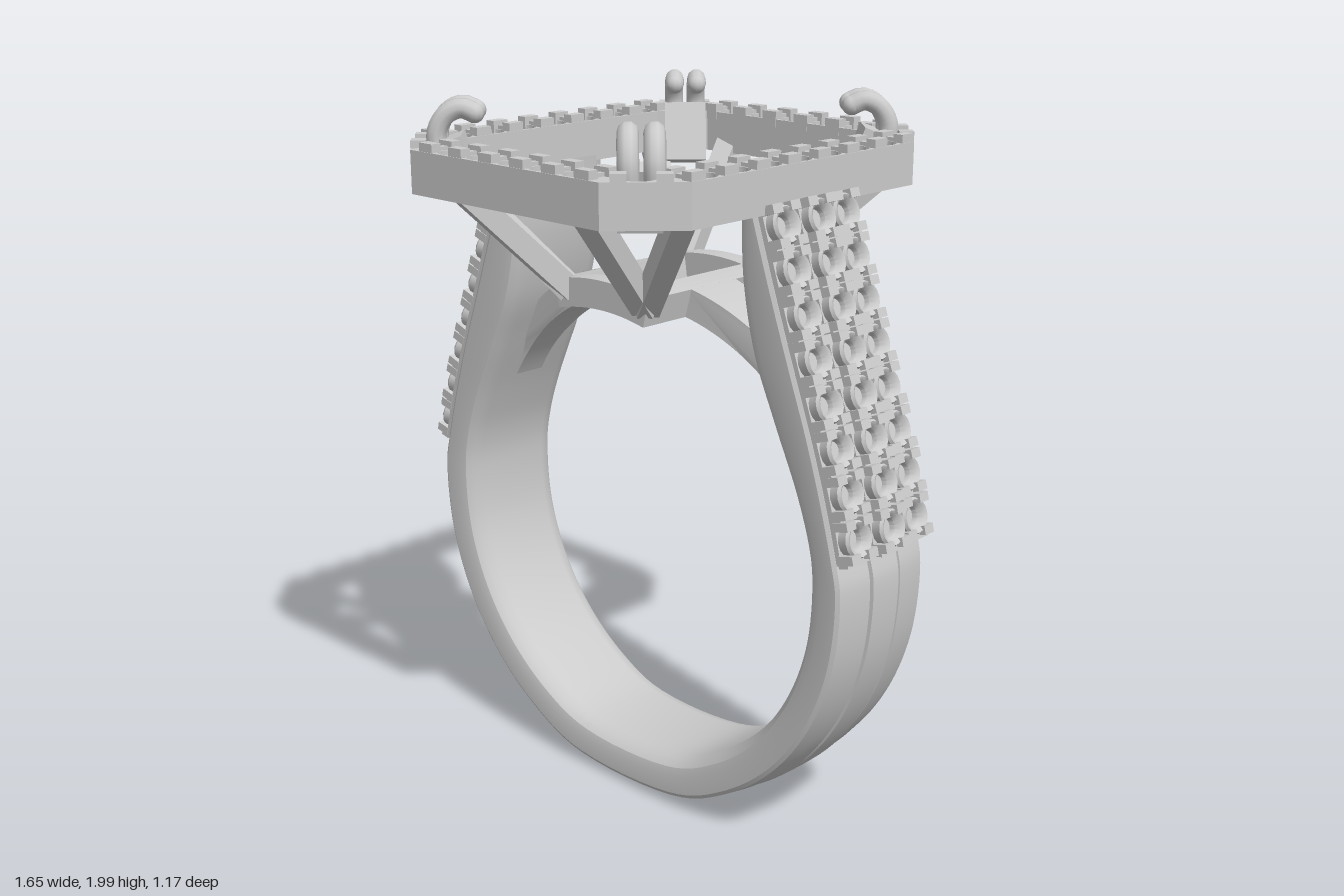
import * as THREE from 'three';
import { toCreasedNormals } from 'three/addons/utils/BufferGeometryUtils.js';

const mat = new THREE.MeshStandardMaterial({ color: 0xcccccc, side: THREE.DoubleSide });
const V = (x, y, z = 0) => new THREE.Vector3(x, y, z);
const CY = 0.79; // centre height of the finger hole

function add(parent, name, geo, x = 0, y = 0, z = 0) {
  const m = new THREE.Mesh(geo, mat);
  m.name = name;
  m.position.set(x, y, z);
  parent.add(m);
  return m;
}
const box = (p, name, w, h, d, x, y, z) => add(p, name, new THREE.BoxGeometry(w, h, d), x, y, z);

// Shoulder stations from the head downwards
const shoulderIn = [[0.4, 1.775], [0.41, 1.58], [0.45, 1.4], [0.52, 1.24], [0.6, 1.06], [0.645, 0.93]];
const shoulderOut = [[0.485, 1.78], [0.545, 1.6], [0.615, 1.4], [0.68, 1.22], [0.73, 1.07], [0.772, 0.91]];

// Half path down one shoulder and around the hoop, mirrored to the other side
function hoopCurve(shoulder, r) {
  const half = shoulder.map(([x, y]) => V(x, y));
  for (let a = 3; a > -90; a -= 15.5) {
    const t = THREE.MathUtils.degToRad(a);
    half.push(V(r * Math.cos(t), CY + r * Math.sin(t)));
  }
  const other = half.map(p => V(-p.x, p.y)).reverse();
  if (Math.abs(half[half.length - 1].x) < 0.01) other.shift();
  return new THREE.CatmullRomCurve3([...half, ...other]);
}

// Band swept through cross-sections, with two fading grooves outside
function shankGeometry() {
  const inner = hoopCurve(shoulderIn, 0.66), outer = hoopCurve(shoulderOut, 0.79);
  const n = 160, pos = [], idx = [];
  let k = 0;
  for (let i = 0; i <= n; i++) {
    const a = inner.getPoint(i / n), b = outer.getPoint(i / n);
    const dir = b.clone().sub(a).normalize();
    const g = 0.02 * THREE.MathUtils.clamp((b.y - 0.2) / 0.5, 0, 1);
    const half = [[0.01, b, 0], [0.052, b, -0.001], [0.057, b, -0.002 - g], [0.063, b, -0.004],
      [0.12, b, -0.009], [0.168, b, -0.017], [0.175, b, -0.028], [0.175, a, 0.05],
      [0.168, a, 0.025], [0.15, a, 0.008], [0.12, a, 0]];
    const section = [...half.map(([z, p, o]) => [-z, p, o]), ...half.slice().reverse()];
    k = section.length;
    for (const [z, p, o] of section) pos.push(p.x + dir.x * o, p.y + dir.y * o, z);
  }
  for (let i = 0; i < n; i++) for (let j = 0; j < k; j++) {
    const a = i * k + j, b = i * k + (j + 1) % k, c = b + k, d = a + k;
    idx.push(a, d, c, a, c, b);
  }
  const geo = new THREE.BufferGeometry();
  geo.setAttribute('position', new THREE.Float32BufferAttribute(pos, 3));
  geo.setIndex(idx);
  return toCreasedNormals(geo, 0.5);
}

// Curved strip following the finger hole between two angles (degrees)
function arcStrip(a0, a1, z0, z1) {
  const r = THREE.MathUtils.degToRad;
  const s = new THREE.Shape();
  s.absarc(0, CY, 0.74, r(a0), r(a1), false);
  s.absarc(0, CY, 0.66, r(a1), r(a0), true);
  s.closePath();
  const geo = new THREE.ExtrudeGeometry(s, { depth: z1 - z0, bevelEnabled: false, curveSegments: 16 });
  return geo.translate(0, 0, z0);
}

// Square bar between two points
function bar(parent, name, a, b, w, h) {
  const m = box(parent, name, w, h, a.distanceTo(b), 0, 0, 0);
  m.position.copy(a).lerp(b, 0.5);
  m.lookAt(b);
}

// Octagon with cut corners
function octagon(P, x, z, cx, cz) {
  return new P([[x, -cz], [x, cz], [cx, z], [-cx, z], [-x, cz], [-x, -cz], [-cx, -z], [cx, -z]]
    .map(([a, b]) => new THREE.Vector2(a, b)));
}

// Stone positions and the gaps between them around the head
const STEP = 0.116, seats = [], gaps = [];
for (const s of [-1, 1]) {
  for (let i = -3; i <= 3; i++) seats.push([s * 0.452, i * STEP]);
  for (let i = -2; i <= 2; i++) seats.push([i * STEP, s * 0.537]);
  for (let i = -3.5; i <= 3.5; i++) gaps.push([s * 0.452, i * STEP, 0]);
  for (let i = -2.5; i <= 2.5; i++) gaps.push([i * STEP, s * 0.537, Math.PI / 2]);
  for (const t of [-1, 1]) seats.push([s * 0.378, t * 0.482]);
}

function haloLayer(y0, y1, holeR) {
  const s = octagon(THREE.Shape, 0.502, 0.587, 0.35, 0.43);
  s.holes.push(octagon(THREE.Path, 0.402, 0.49, 0.3, 0.38));
  for (const [x, z] of seats) s.holes.push(new THREE.Path().absarc(x, z, holeR, 0, Math.PI * 2, true));
  const geo = new THREE.ExtrudeGeometry(s, { depth: y1 - y0, bevelEnabled: false, curveSegments: 10 });
  return toCreasedNormals(geo.rotateX(-Math.PI / 2).translate(0, y0, 0), 0.7);
}

// Open cup for one stone, with the axis along y
const cupGeo = new THREE.LatheGeometry([[0.046, 0], [0.05, 0.03], [0.045, 0.038], [0.038, 0.034],
  [0.026, 0.018], [0.024, 0.004], [0, 0.004]].map(p => new THREE.Vector2(...p)), 16);
const cup = toCreasedNormals(cupGeo, 0.6);

// Three rows of cups with small prongs along one shoulder
function shoulderRows() {
  const rows = new THREE.Group();
  rows.name = 'shoulderSettings';
  const path = new THREE.CatmullRomCurve3(shoulderOut.map(([x, y]) => V(x, y)));
  const count = 8, len = path.getLength() / count;
  for (let i = 0; i < count; i++) {
    const u = (i + 0.5) / count, p = path.getPointAt(u), t = path.getTangentAt(u);
    for (const row of [-1, 0, 1]) {
      const unit = new THREE.Group();
      unit.name = 'stoneSetting';
      unit.position.set(p.x, p.y, row * 0.117);
      unit.rotation.z = Math.atan2(t.y, t.x);
      unit.translateY(row ? -0.008 : 0.008);
      rows.add(unit);
      box(unit, 'settingBase', len, 0.03, 0.1, 0, -0.008, 0);
      add(unit, 'stoneCup', cup, 0, 0.004, 0);
      for (const e of [-1, 1]) for (const s of [-1, 1])
        box(unit, 'smallProng', 0.024, 0.045, 0.036, e * (len / 2 - 0.014), 0.026, s * 0.034);
      box(unit, 'settingDivider', 0.014, 0.03, 0.1, len / 2, 0.014, 0);
    }
  }
  return rows;
}

export function createModel() {
  const ring = new THREE.Group();
  ring.name = 'ring';
  add(ring, 'shank', shankGeometry());

  // Jewelled shoulders
  const right = shoulderRows(), left = shoulderRows();
  right.rotation.y = Math.PI;
  ring.add(left, right);

  // Bridge arms narrowing towards the shoulders
  for (const [a0, a1] of [[30, 78], [102, 150]]) {
    const geo = arcStrip(a0, a1, -1, 1), p = geo.attributes.position;
    for (let i = 0; i < p.count; i++)
      p.setZ(i, p.getZ(i) * THREE.MathUtils.clamp(0.107 - 0.11 * Math.abs(p.getX(i)), 0.05, 0.09));
    geo.computeVertexNormals();
    add(ring, 'bridgeArm', toCreasedNormals(geo, 0.5));
  }

  // Curved rectangular frame under the head
  for (const z of [-0.25, 0.19]) add(ring, 'baseFrameEnd', arcStrip(76, 104, z, z + 0.06));
  for (const a of [76, 98.5]) add(ring, 'baseFrameSide', arcStrip(a, a + 5.5, -0.25, 0.25));

  // Rim of the head
  add(ring, 'haloLower', haloLayer(1.76, 1.835, 0.028));
  add(ring, 'haloUpper', haloLayer(1.835, 1.875, 0.043));
  for (const [x, z, turn] of gaps) {
    const g = new THREE.Group();
    g.name = 'rimProngs';
    g.position.set(x, 1.875, z);
    g.rotation.y = turn;
    ring.add(g);
    for (const s of [-1, 1]) box(g, 'rimProng', 0.03, 0.045, 0.05, s * 0.033, 0, 0);
    box(g, 'rimDivider', 0.06, 0.02, 0.02, 0, 0, 0);
  }

  // Corners: V struts, backing block and a pair of claws
  const clawPath = new THREE.CatmullRomCurve3(
    [V(0.04, 1.84), V(0.045, 1.91), V(0.02, 1.955), V(-0.02, 1.973), V(-0.055, 1.96)]);
  const clawGeo = new THREE.TubeGeometry(clawPath, 14, 0.027, 10);
  const tipGeo = new THREE.SphereGeometry(0.027, 10, 8);
  for (const sx of [-1, 1]) for (const sz of [-1, 1]) {
    const foot = V(sx * 0.142, 1.475, sz * 0.22);
    bar(ring, 'endStrut', foot, V(sx * 0.24, 1.785, sz * 0.525), 0.06, 0.06);
    bar(ring, 'sideStrut', foot, V(sx * 0.435, 1.785, sz * 0.39), 0.06, 0.06);

    const corner = new THREE.Group();
    corner.name = 'cornerClaws';
    corner.position.set(sx * 0.345, 0, sz * 0.44);
    corner.rotation.y = -Math.atan2(sz, sx);
    ring.add(corner);
    box(corner, 'clawBlock', 0.05, 0.17, 0.12, -0.025, 1.815, 0).rotation.z = -0.35;
    for (const s of [-1, 1]) {
      add(corner, 'claw', clawGeo, 0, 0, s * 0.032);
      add(corner, 'clawTip', tipGeo, -0.055, 1.96, s * 0.032);
      box(corner, 'cornerProng', 0.04, 0.045, 0.04, 0.09, 1.873, s * 0.055);
    }
  }
  return ring;
}
